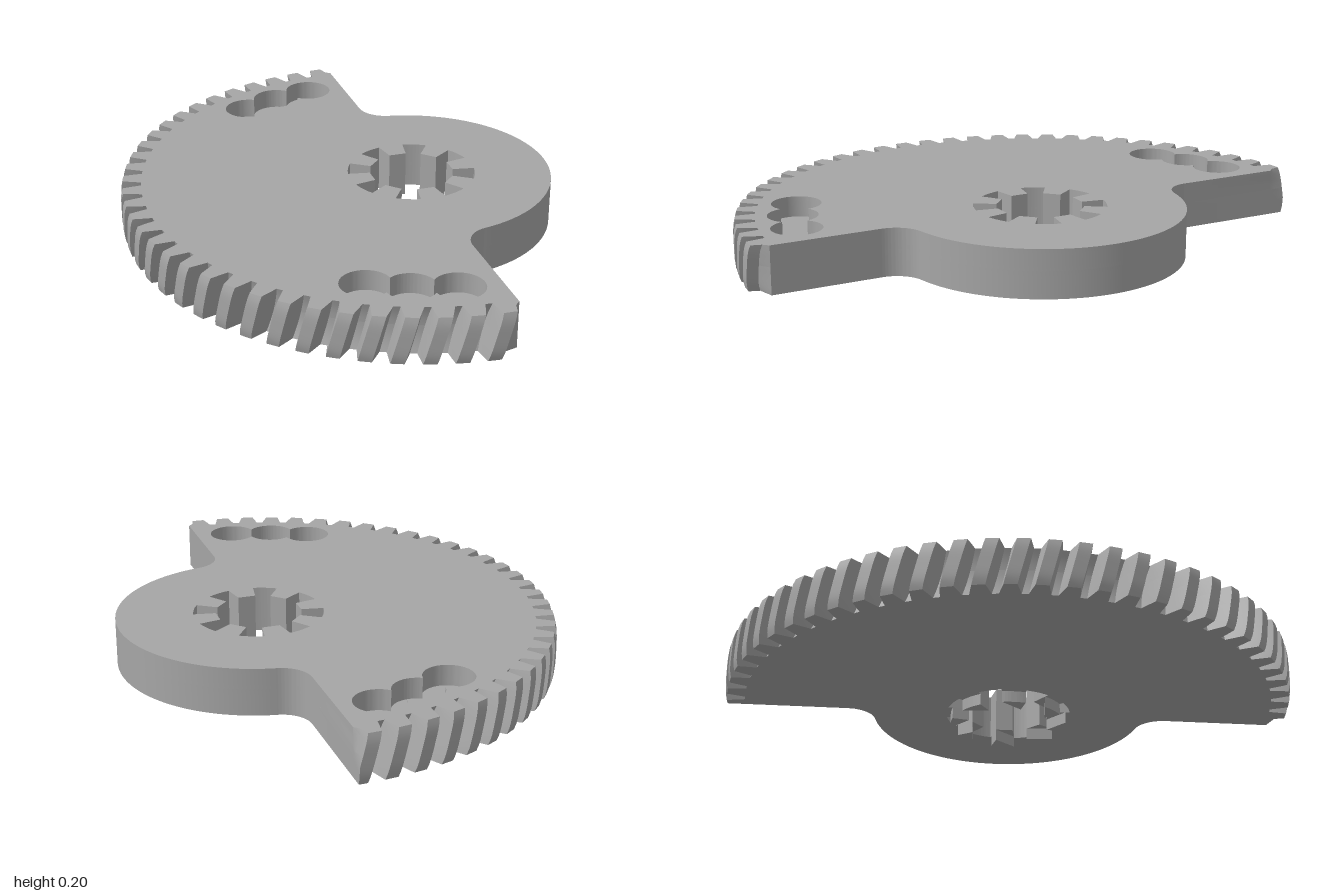
import * as THREE from 'three';
import { toCreasedNormals } from 'three/addons/utils/BufferGeometryUtils.js';

const CX = 0.255;               // gear axis position in x
const BOTTOM = 0.04, TOP = 0.2; // plate heights
const POCKET_FLOOR = 0.13;
const TEETH = 32, PITCH = Math.PI / TEETH;
const LEAN = 0.042;             // tooth twist from top to bottom

const polar = (r, a) => [r * Math.cos(a), r * Math.sin(a)];

// Half gear with teeth on one side and a round hub on the other
function sectorShape() {
  const s = new THREE.Shape();
  s.moveTo(0, 0.94);
  for (let i = 0; i < TEETH; i++) {
    const c = Math.PI / 2 + (i + 0.5) * PITCH;
    const flank = [[0.93, -0.38], [0.965, -0.31], [1, -0.22], [1, 0.22], [0.965, 0.31], [0.93, 0.38]];
    flank.forEach(([r, k], j) => {
      if ((i === 0 && j === 0) || (i === TEETH - 1 && j === 5)) return;
      s.lineTo(...polar(r, c + k * PITCH));
    });
  }
  s.lineTo(0, -0.94);
  const hub = 0.48, f = 0.1;
  const fz = Math.sqrt((hub + f) ** 2 - f * f), a = Math.atan2(fz, f);
  s.absarc(f, -fz, f, Math.PI, Math.PI - a, true);
  s.absarc(0, 0, hub, -a, a, false);
  s.absarc(f, fz, f, a - Math.PI, -Math.PI, true);
  s.closePath();
  return s;
}

// Bore with eight inward keys
function boreHole() {
  const h = new THREE.Path();
  for (let i = 0; i < 8; i++) {
    const c = i * Math.PI / 4, inner = 0.21, outer = 0.2;
    const start = polar(0.145, c - inner);
    if (i) h.lineTo(...start); else h.moveTo(...start);
    h.lineTo(...polar(0.145, c + inner));
    h.absarc(0, 0, 0.22, c + outer, c + Math.PI / 4 - outer, false);
  }
  h.closePath();
  return h;
}

// Outline of three overlapping circles
function pocketHole(side) {
  let c = [[-0.4, 0.7], [-0.275, 0.76], [-0.135, 0.8]].map(([x, y]) => new THREE.Vector2(x, y * side));
  const r = 0.083, PI = Math.PI;
  const link = (p, q) => [Math.atan2(q.y - p.y, q.x - p.x), Math.acos(p.distanceTo(q) / 2 / r)];
  const [d0, a0] = link(c[0], c[1]), [d1, a1] = link(c[1], c[2]);
  const h = new THREE.Path();
  h.absarc(c[0].x, c[0].y, r, d0 + a0, d0 + 2 * PI - a0, false);
  h.absarc(c[1].x, c[1].y, r, d0 - PI + a0, d1 - a1, false);
  h.absarc(c[2].x, c[2].y, r, d1 - PI + a1, d1 + PI - a1, false);
  h.absarc(c[1].x, c[1].y, r, d1 + a1, d0 + PI - a0, false);
  return h;
}

// Extrude upright between two heights, twisting and hollowing the tooth rim
function layer(shape, y0, y1, steps) {
  const g = new THREE.ExtrudeGeometry(shape, { depth: y1 - y0, steps, bevelEnabled: false, curveSegments: 28 });
  g.translate(0, 0, y0);
  const p = g.attributes.position;
  for (let i = 0; i < p.count; i++) {
    const x = p.getX(i), y = p.getY(i), h = p.getZ(i);
    let r = Math.hypot(x, y);
    if (r < 0.9 || x > -0.001) continue;
    const v = (h - (TOP + BOTTOM) / 2) / ((TOP - BOTTOM) / 2);
    r -= r < 0.95 ? 0.015 * (1 - v * v) : 0.008 * v ** 4;
    const a = Math.atan2(y, x) - LEAN * (1 - v) / 2;
    p.setXY(i, Math.min(0, r * Math.cos(a)), r * Math.sin(a));
  }
  g.rotateX(-Math.PI / 2);
  return toCreasedNormals(g, 0.45);
}

export function createModel() {
  const group = new THREE.Group();
  const grey = new THREE.MeshStandardMaterial({ color: 0xa6a6a6 });
  grey.name = 'grey';

  const add = (name, geometry) => {
    const m = new THREE.Mesh(geometry, grey);
    m.name = name;
    m.position.x = CX;
    group.add(m);
    return m;
  };

  // Solid lower plate, whose top is the pocket floor
  const lower = sectorShape();
  lower.holes.push(boreHole());
  add('lowerGearPlate', layer(lower, BOTTOM, POCKET_FLOOR, 5));

  // Upper plate with the two pockets
  const upper = sectorShape();
  upper.holes.push(boreHole(), pocketHole(1), pocketHole(-1));
  add('upperGearPlate', layer(upper, POCKET_FLOOR, TOP, 4));

  // Keys continue below the plate as short feet
  const key = new THREE.Shape();
  key.moveTo(...polar(0.145, -0.21));
  key.absarc(0, 0, 0.205, -0.205, 0.205, false);
  key.lineTo(...polar(0.145, 0.21));
  key.closePath();
  const keyGeometry = layer(key, 0, BOTTOM + 0.002, 1);
  for (let i = 0; i < 8; i++) add('boreKeyFoot', keyGeometry).rotation.y = i * Math.PI / 4;

  return group;
}
